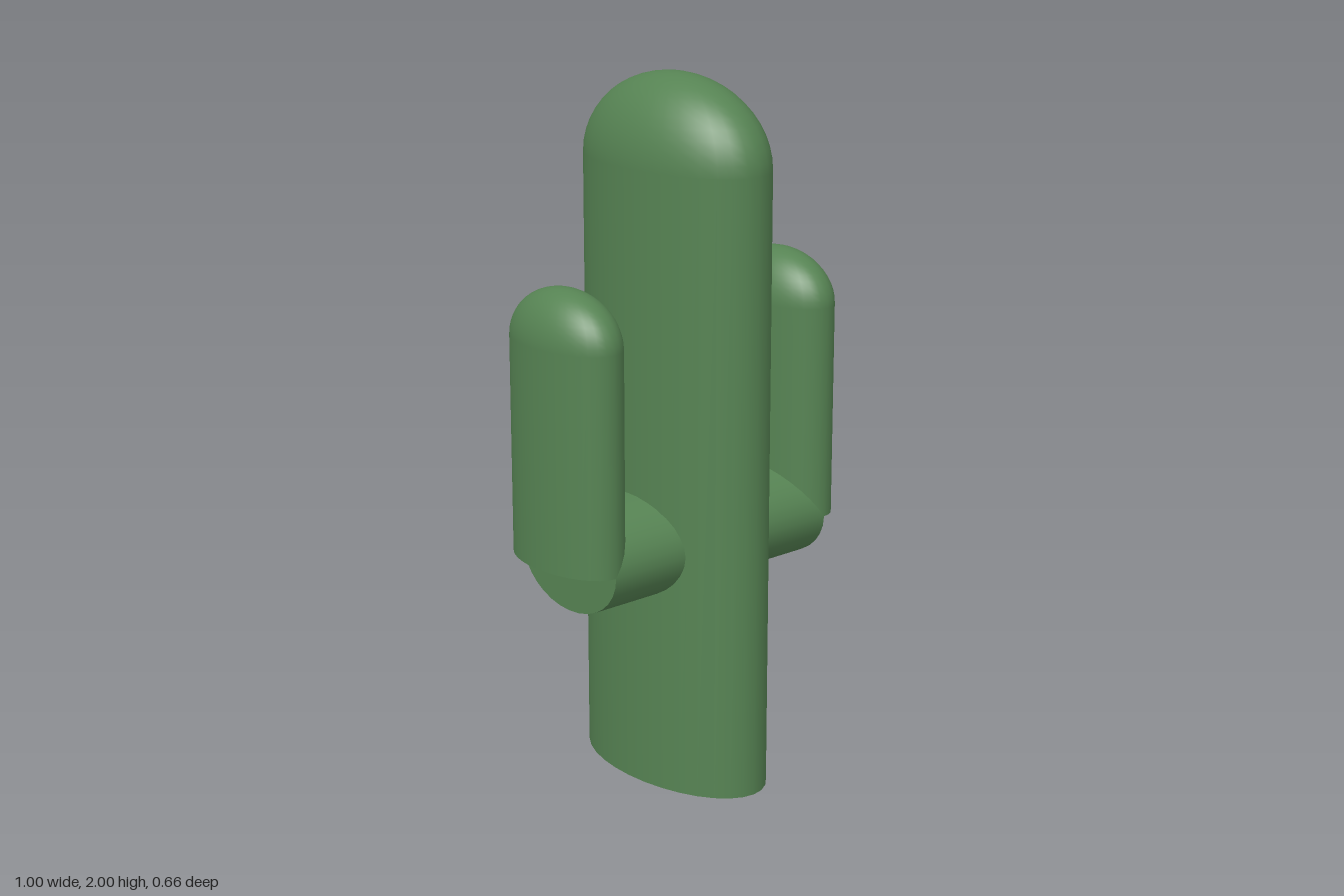
import * as THREE from 'three';

const SEGMENTS = 32;

export function createModel() {
  const model = new THREE.Group();
  model.name = 'cactus';
  const green = new THREE.MeshStandardMaterial({ color: 0x568353 });
  green.name = 'cactus green';

  function add(geometry, name, parent) {
    const mesh = new THREE.Mesh(geometry, green);
    mesh.name = name;
    parent.add(mesh);
  }

  // Oval column with a flat base and a domed top
  function column(name, parent, x, bottom, shoulder, top, rx, rz) {
    const shaft = new THREE.CylinderGeometry(1, 1, shoulder - bottom, SEGMENTS);
    shaft.scale(rx, 1, rz).translate(x, (bottom + shoulder) / 2, 0);
    add(shaft, name + 'Shaft', parent);

    const dome = new THREE.SphereGeometry(1, SEGMENTS, 12, 0, Math.PI * 2, 0, Math.PI / 2);
    dome.scale(rx, top - shoulder, rz).translate(x, shoulder, 0);
    add(dome, name + 'Dome', parent);
  }

  // Trunk
  column('trunk', model, 0, 0, 1.758, 2, 0.18, 0.33);

  // Mirrored arms: a sideways oval branch and an upright column
  for (const side of [1, -1]) {
    const arm = new THREE.Group();
    arm.name = side > 0 ? 'leftArm' : 'rightArm';

    const branch = new THREE.CylinderGeometry(1, 1, 0.39, SEGMENTS);
    branch.rotateZ(Math.PI / 2).scale(1, 0.147, 0.2).translate(side * 0.195, 0.705, 0);
    add(branch, 'branch', arm);

    column('arm', arm, side * 0.39, 0.705, 1.32, 1.467, 0.11, 0.2);
    model.add(arm);
  }

  return model;
}
